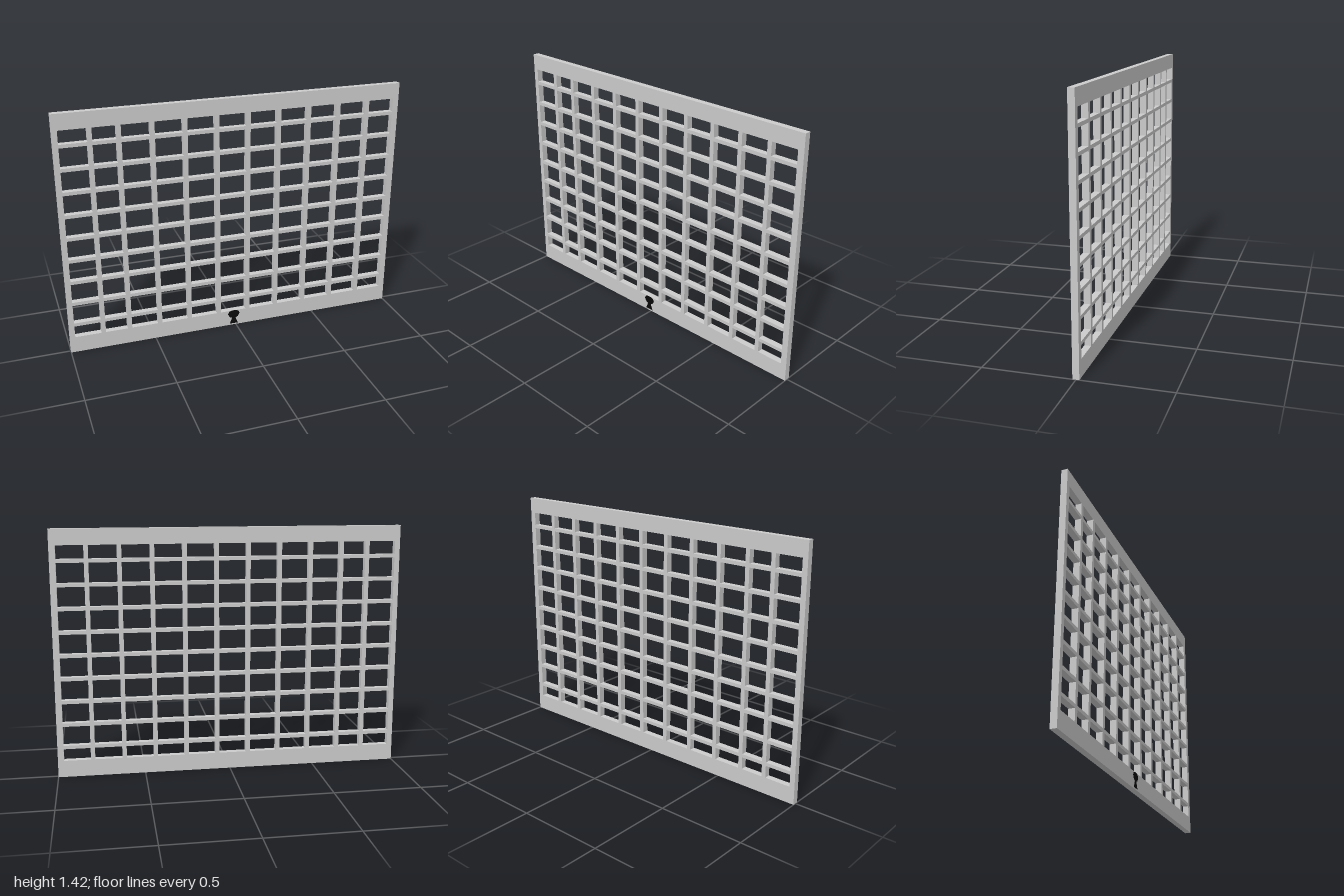
import * as THREE from 'three';

const HEIGHT = 1.42, DEPTH = 0.036;
const BAR_W = 0.025, RAIL_H = 0.02;

// Closed loop of points, usable as an outline or a hole
const trace = (target, points) => {
  points.forEach(([x, y], i) => (i ? target.lineTo(x, y) : target.moveTo(x, y)));
  target.closePath();
  return target;
};

// Gaps left between the frame edges and a list of bar centres
const gaps = (start, end, centres, width) => {
  const lows = [start, ...centres.map((c) => c + width / 2)];
  const highs = [...centres.map((c) => c - width / 2), end];
  return lows.map((low, i) => [low, highs[i]]);
};

export function createModel() {
  const model = new THREE.Group();
  const grey = new THREE.MeshStandardMaterial({ color: 0xcccccc });
  const black = new THREE.MeshStandardMaterial({ color: 0x0a0a0a });

  // Lattice panel: a slab pierced by a grid of rectangular openings
  const bars = [-0.805, ...Array.from({ length: 9 }, (_, i) => -0.651 + i * 0.1814)];
  const rails = Array.from({ length: 9 }, (_, i) => 0.177 + i * 0.1333);
  const columns = gaps(-0.97, 0.965, bars, BAR_W);
  const rows = gaps(0.097, 1.33, rails, RAIL_H);

  const outline = trace(new THREE.Shape(), [[-1, 0], [1, 0], [1, HEIGHT], [-1, HEIGHT]]);
  for (const [x0, x1] of columns) {
    for (const [y0, y1] of rows) {
      outline.holes.push(trace(new THREE.Path(), [[x0, y0], [x0, y1], [x1, y1], [x1, y0]]));
    }
  }
  const panelGeometry = new THREE.ExtrudeGeometry(outline, { depth: DEPTH, bevelEnabled: false });
  panelGeometry.translate(0, 0, -DEPTH / 2);
  const panel = new THREE.Mesh(panelGeometry, grey);
  panel.name = 'latticePanel';
  model.add(panel);

  // Keyhole: thin dark plate, a rounded head above a flared foot
  const keyholeShape = trace(new THREE.Shape(), [
    [-0.026, 0], [0.026, 0], [0.011, 0.038], [0.026, 0.046], [0.037, 0.066],
    [0.03, 0.082], [0.014, 0.088], [-0.014, 0.088], [-0.03, 0.082],
    [-0.037, 0.066], [-0.026, 0.046], [-0.011, 0.038],
  ]);
  const keyhole = new THREE.Mesh(
    new THREE.ExtrudeGeometry(keyholeShape, { depth: 0.002, bevelEnabled: false }), black);
  keyhole.position.set(-0.013, 0.009, DEPTH / 2 - 0.001);
  keyhole.name = 'keyhole';
  model.add(keyhole);

  return model;
}
